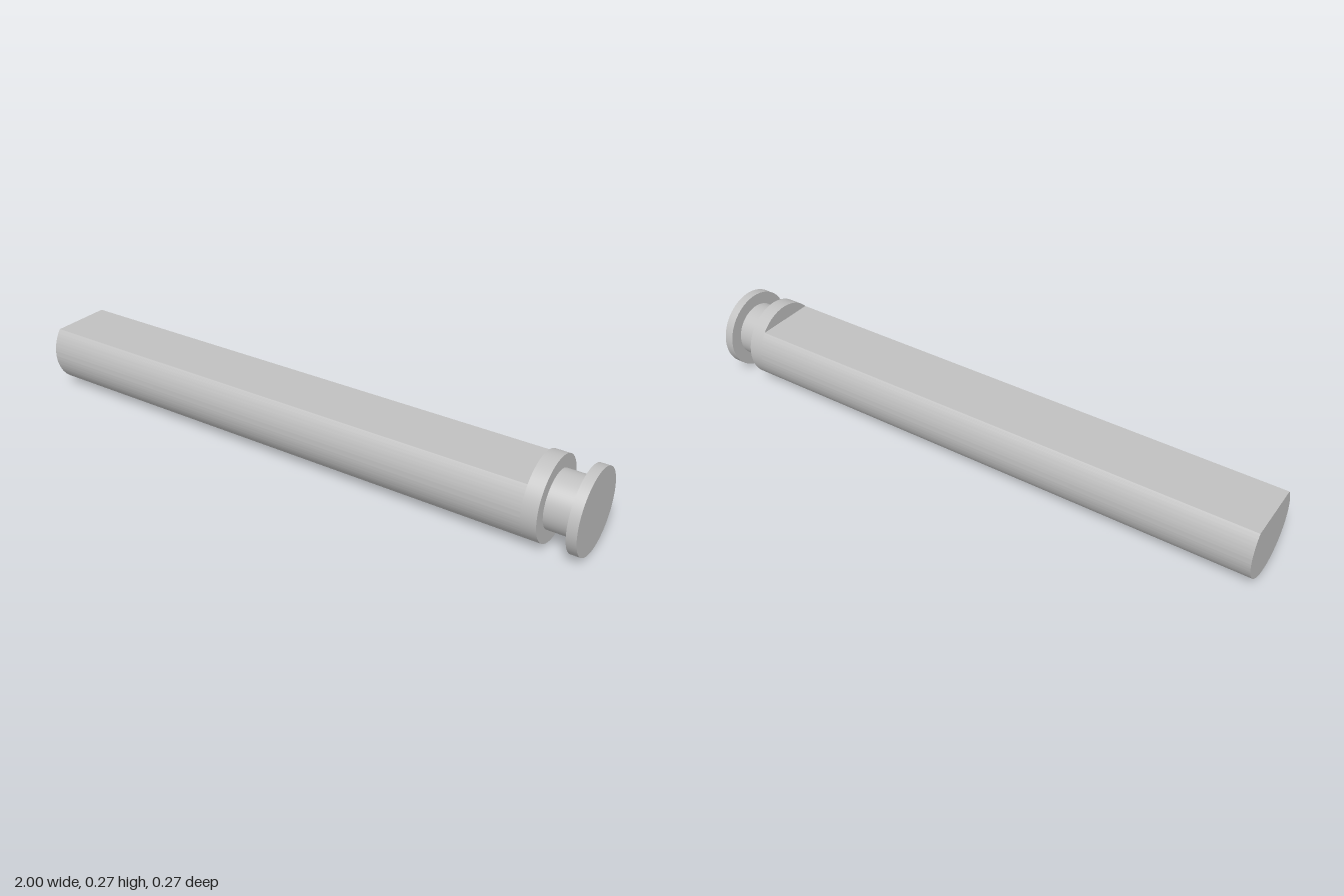
import * as THREE from 'three';
import { toCreasedNormals } from 'three/addons/utils/BufferGeometryUtils.js';

const R = 0.137;       // pin radius, also the height of its axis
const FLAT = 0.0856;   // height of the milled flat above the axis

export function createModel() {
  const group = new THREE.Group();
  group.name = 'groovedPin';
  const steel = new THREE.MeshStandardMaterial({ color: 0xc0c0c0 });
  steel.name = 'steelGrey';

  function add(name, geometry) {
    const mesh = new THREE.Mesh(geometry, steel);
    mesh.name = name;
    mesh.position.y = R;
    group.add(mesh);
  }

  // Round section lying along x between two positions
  function disc(name, radius, x0, x1, open = false) {
    const g = new THREE.CylinderGeometry(radius, radius, x1 - x0, 96, 1, open);
    g.rotateZ(-Math.PI / 2);
    g.translate((x0 + x1) / 2, 0, 0);
    add(name, g);
  }

  // Long shaft: circle with the top cut off by the flat
  const a = Math.asin(FLAT / R);
  const profile = new THREE.Shape();
  profile.absarc(0, 0, R, Math.PI - a, 2 * Math.PI + a, false);
  profile.closePath();
  const shaft = new THREE.ExtrudeGeometry(profile, {
    depth: 1.83, bevelEnabled: false, curveSegments: 80,
  });
  shaft.rotateY(Math.PI / 2);
  shaft.translate(-1, 0, 0);
  add('flattedShaft', toCreasedNormals(shaft, 0.5));

  // Full-round collar, retaining groove and end head
  disc('collar', R, 0.83, 0.88);
  disc('grooveNeck', 0.094, 0.88, 0.968, true);
  disc('endHead', R, 0.968, 1);

  return group;
}
